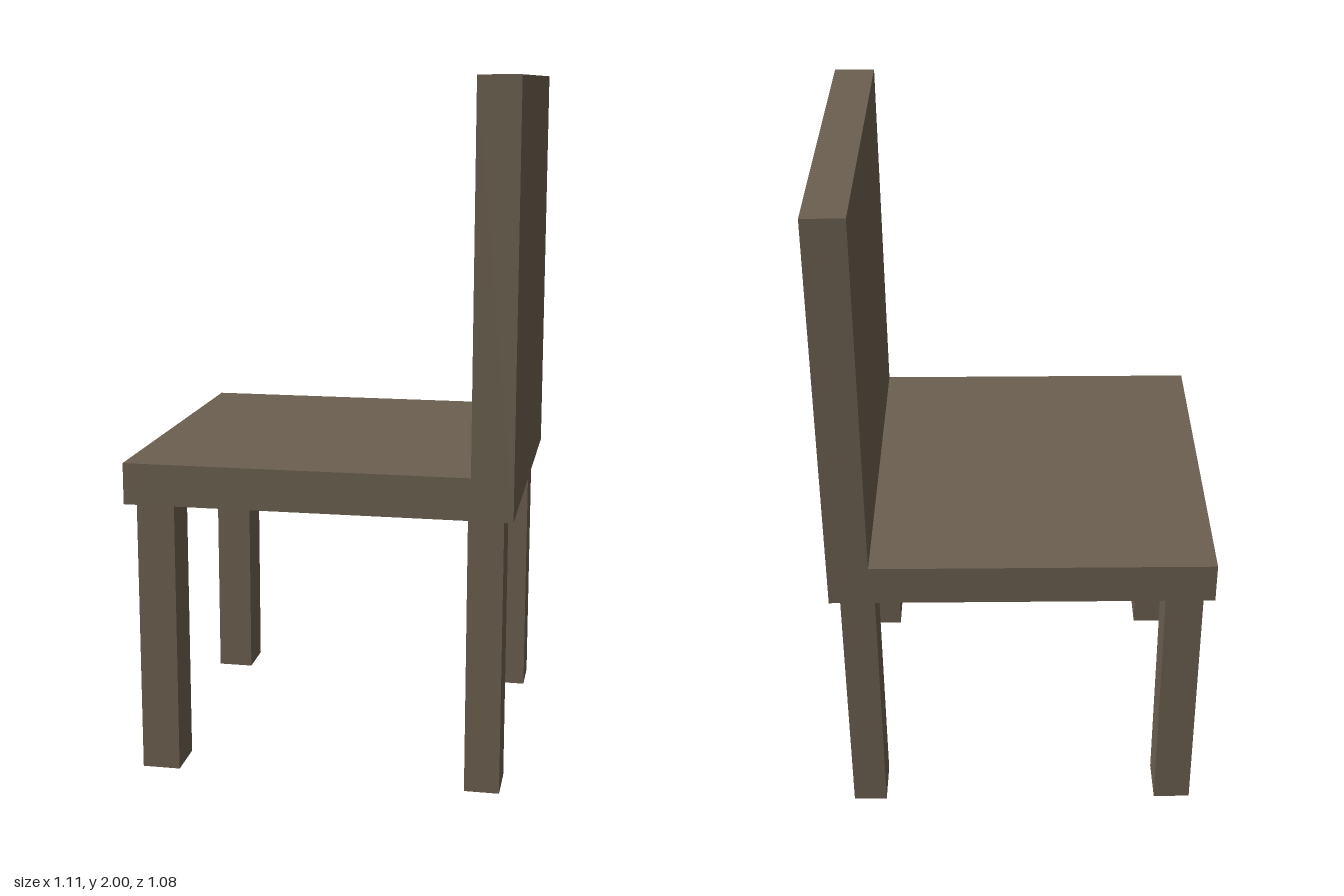
import * as THREE from 'three';

export function createModel() {
  const chair = new THREE.Group();
  chair.name = 'chair';
  const wood = new THREE.MeshStandardMaterial({ color: 0x6b5f4f });

  // Seat and backrest: one L-shaped profile extruded across the width
  const width = 1.08;
  const profile = new THREE.Shape([
    [-0.553, 0.805], [0.553, 0.805], [0.553, 2], [0.435, 2], [0.435, 0.925], [-0.553, 0.925],
  ].map(([x, y]) => new THREE.Vector2(x, y)));
  const body = new THREE.Mesh(
    new THREE.ExtrudeGeometry(profile, { depth: width, bevelEnabled: false }), wood);
  body.name = 'seatAndBackrest';
  body.position.z = -width / 2;
  chair.add(body);

  // Legs: [name, x range, z range]; the pair under the backrest is slightly slimmer
  const legHeight = 0.805;
  const legs = [
    ['frontLegLeft', -0.525, -0.415, 0.375, 0.507],
    ['frontLegRight', -0.525, -0.415, -0.503, -0.366],
    ['rearLegLeft', 0.425, 0.525, 0.375, 0.507],
    ['rearLegRight', 0.425, 0.525, -0.503, -0.366],
  ];
  for (const [name, x0, x1, z0, z1] of legs) {
    const leg = new THREE.Mesh(new THREE.BoxGeometry(x1 - x0, legHeight, z1 - z0), wood);
    leg.name = name;
    leg.position.set((x0 + x1) / 2, legHeight / 2, (z0 + z1) / 2);
    chair.add(leg);
  }
  return chair;
}
